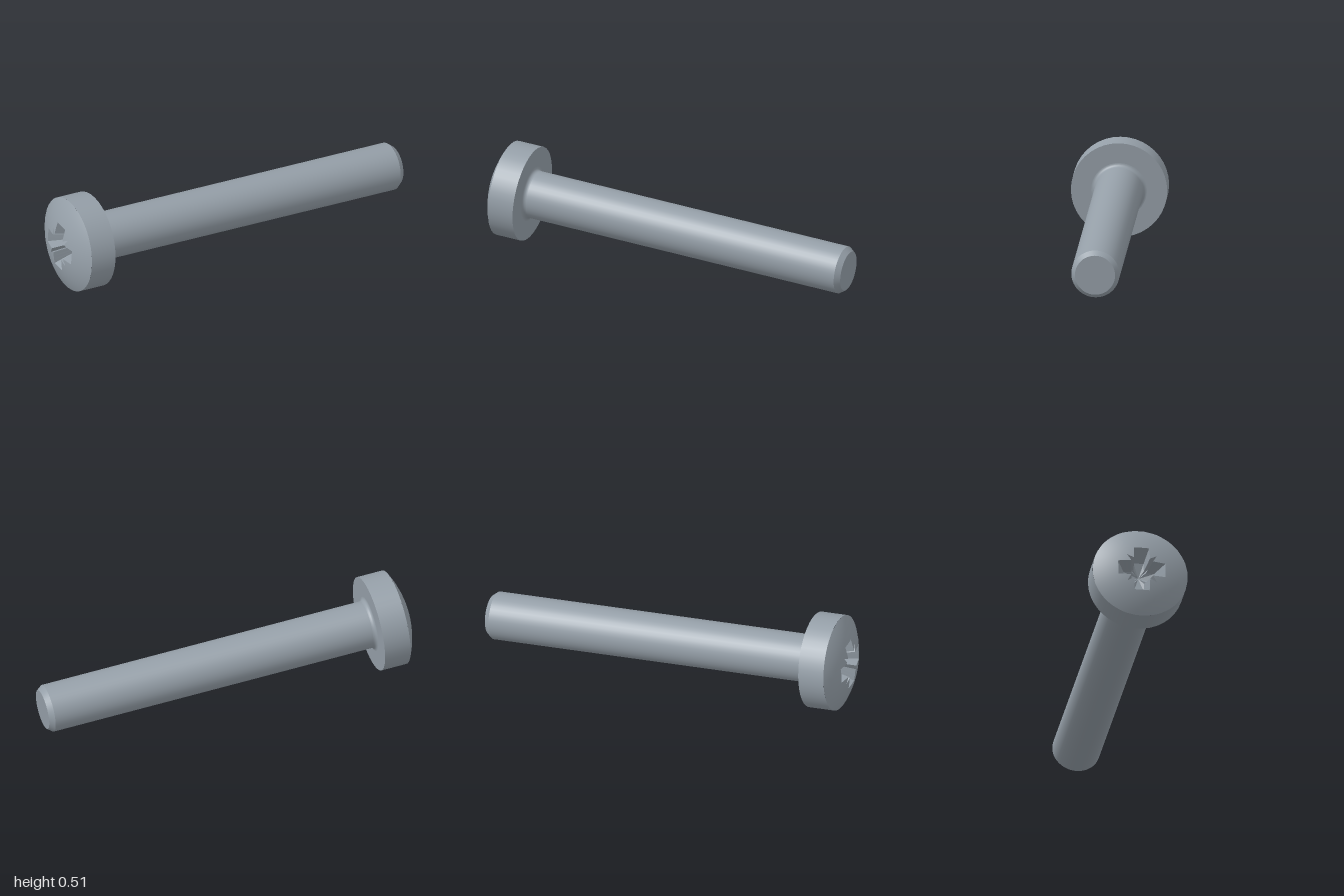
import * as THREE from 'three';

const HEAD_R = 0.252, RIM_H = 0.141, DOME_H = 0.067;
const SHAFT_R = 0.126, TIP_R = 0.105, CHAMFER = 0.028, FILLET = 0.02, LENGTH = 1.807;
const SPHERE_R = (HEAD_R ** 2 + DOME_H ** 2) / (2 * DOME_H);
const SPHERE_Y = RIM_H + DOME_H - SPHERE_R;
const domeY = r => SPHERE_Y + Math.sqrt(SPHERE_R ** 2 - r * r);

// Outline of the cross recess: four arms with a narrow notch between them
function recessOutline() {
  const quarter = [[0.125, -0.04], [0.125, 0.04], [0.058, 0.042], [0.078, 0.078], [0.042, 0.058]];
  const corners = [];
  for (let q = 0; q < 4; q++) {
    for (const [x, z] of quarter) {
      corners.push(new THREE.Vector2(x, z).rotateAround(new THREE.Vector2(), q * Math.PI / 2));
    }
  }
  return corners.flatMap((p, i) => {
    const next = corners[(i + 1) % corners.length];
    return [0, 1, 2].map(k => p.clone().lerp(next, k / 3));
  });
}

// Joins closed rings of points, ordered from the middle outwards
function loft(rings) {
  const n = rings[0].length, index = [];
  for (let j = 0; j < rings.length - 1; j++) {
    for (let i = 0; i < n; i++) {
      const a = j * n + i, b = j * n + (i + 1) % n;
      index.push(a, b, b + n, a, b + n, a + n);
    }
  }
  const geometry = new THREE.BufferGeometry().setFromPoints(rings.flat());
  geometry.setIndex(index);
  geometry.computeVertexNormals();
  return geometry;
}

export function createModel() {
  const steel = new THREE.MeshStandardMaterial({ color: 0x959fa8 });
  steel.name = 'steel';
  const model = new THREE.Group();
  model.name = 'screw';
  const screw = new THREE.Group();
  screw.name = 'tiltedScrew';
  model.add(screw);

  const add = (name, geometry) => {
    const mesh = new THREE.Mesh(geometry, steel);
    mesh.name = name;
    screw.add(mesh);
  };
  const turned = (name, points) =>
    add(name, new THREE.LatheGeometry(points.map(p => new THREE.Vector2(...p)), 40));

  // Shank, turned in separate bands to keep its edges sharp
  turned('tipFace', [[0, -LENGTH], [TIP_R, -LENGTH]]);
  turned('tipChamfer', [[TIP_R, -LENGTH], [SHAFT_R, CHAMFER - LENGTH]]);
  turned('shaft', [[SHAFT_R, CHAMFER - LENGTH], [SHAFT_R, -FILLET]]);
  const fillet = [];
  for (let i = 0; i <= 6; i++) {
    const a = i / 6 * Math.PI / 2;
    fillet.push([SHAFT_R + FILLET * (1 - Math.cos(a)), FILLET * (Math.sin(a) - 1)]);
  }
  turned('neckFillet', fillet);

  // Head
  turned('headUnderside', [[SHAFT_R + FILLET, 0], [HEAD_R, 0]]);
  turned('headRim', [[HEAD_R, 0], [HEAD_R, RIM_H]]);

  // Domed top, cut out around the recess
  const outline = recessOutline();
  const domeRings = [];
  for (let k = 0; k <= 8; k++) {
    domeRings.push(outline.map(p => {
      const r = THREE.MathUtils.lerp(p.length(), HEAD_R, k / 8);
      const d = p.clone().setLength(r);
      return new THREE.Vector3(d.x, domeY(r), d.y);
    }));
  }
  const dome = loft(domeRings);
  const pos = dome.attributes.position, normal = new THREE.Vector3();
  for (let i = 0; i < pos.count; i++) {
    normal.fromBufferAttribute(pos, i);
    normal.y -= SPHERE_Y;
    normal.normalize();
    dome.attributes.normal.setXYZ(i, normal.x, normal.y, normal.z);
  }
  add('headDome', dome);

  // Tapered recess walls and shallow conical floor
  const floorY = RIM_H + DOME_H - 0.11;
  const floor = outline.map(p => new THREE.Vector3(p.x * 0.65, floorY, p.y * 0.65));
  const centre = outline.map(() => new THREE.Vector3(0, floorY - 0.02, 0));
  for (const [name, rings] of [['recessWalls', [floor, domeRings[0]]], ['recessFloor', [centre, floor]]]) {
    const faceted = loft(rings).toNonIndexed();
    faceted.computeVertexNormals();
    add(name, faceted);
  }

  // Lay the screw down with its tip forward and low
  const axis = new THREE.Vector3(-1.762, 0.1285, -0.379).normalize();
  const side = new THREE.Vector3(0, 1, 0).cross(axis).normalize();
  const up = side.clone().cross(axis);
  screw.quaternion.setFromRotationMatrix(new THREE.Matrix4().makeBasis(side, axis, up));
  screw.position.set(-0.785, 0.2535, -0.113);
  return model;
}
